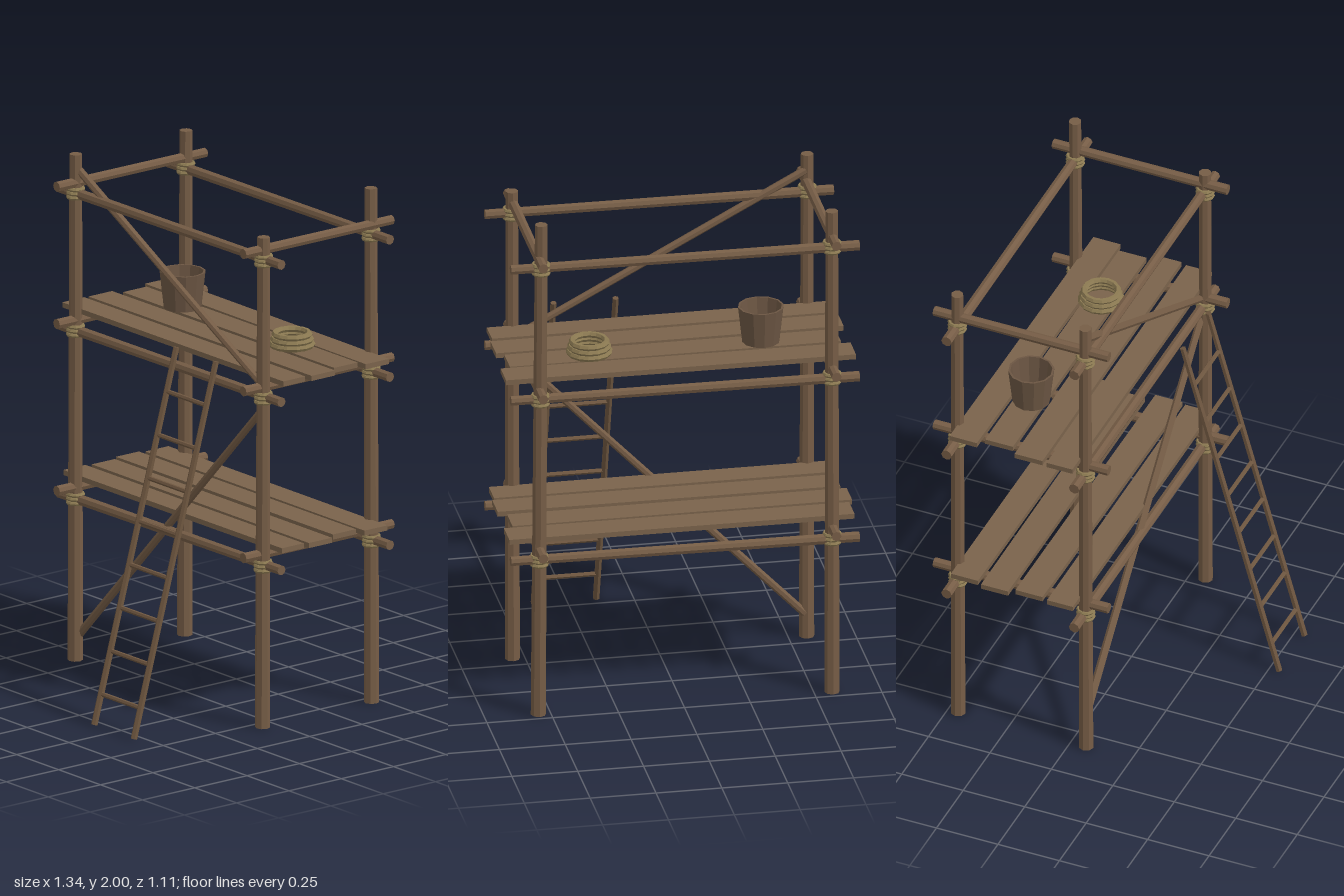
import * as THREE from 'three';

const mat = (name, color, side = THREE.FrontSide) => {
  const m = new THREE.MeshStandardMaterial({ color, side, flatShading: true });
  m.name = name;
  return m;
};

export function createModel() {
  const pole = mat('pole wood', 0x765d46);
  const plankWood = mat('plank wood', 0x7a634b);
  const ladderWood = mat('ladder wood', 0x6f5740);
  const rope = mat('rope', 0x8c7a52);
  const bucketWood = mat('bucket wood', 0x6c5643, THREE.DoubleSide);

  const model = new THREE.Group();
  model.name = 'scaffold';

  const add = (name, geometry, material, parent = model) => {
    const mesh = new THREE.Mesh(geometry, material);
    mesh.name = name;
    parent.add(mesh);
    return mesh;
  };

  // A tapered round pole running from point a to point b
  const beam = (name, a, b, r0, r1, material, sides = 8, parent = model) => {
    const start = new THREE.Vector3(...a), end = new THREE.Vector3(...b);
    const dir = end.clone().sub(start);
    const mesh = add(name, new THREE.CylinderGeometry(r1, r0, dir.length(), sides), material, parent);
    mesh.position.copy(start).add(end).multiplyScalar(0.5);
    mesh.quaternion.setFromUnitVectors(new THREE.Vector3(0, 1, 0), dir.normalize());
    return mesh;
  };

  const ring = (name, radius, tube, x, y, z, sides, parent) => {
    const mesh = add(name, new THREE.TorusGeometry(radius, tube, 6, sides), rope, parent);
    mesh.rotation.x = Math.PI / 2;
    mesh.position.set(x, y, z);
  };

  // Corner posts: bottom x, bottom z, top x, top z, height
  const posts = [
    [-0.57, 0.063, -0.571, 0.06, 1.97],
    [0.547, 0.063, 0.55, 0.06, 1.91],
    [-0.568, -0.458, -0.566, -0.463, 1.965],
    [0.547, -0.458, 0.537, -0.463, 2.0],
  ];
  for (const [x0, z0, x1, z1, h] of posts)
    beam('post', [x0, 0, z0], [x1, h, z1], 0.029, 0.024, pole);

  // Long rails, cross rails and rope lashings at each of three levels
  const levels = [[0.63, 0.675], [1.285, 1.325], [1.82, 1.86]];
  for (const [railY, crossY] of levels) {
    for (const z of [0.057, -0.462])
      beam('longRail', [-0.67, railY - 0.004, z], [0.653, railY + 0.004, z], 0.021, 0.019, pole);
    for (const x of [-0.567, 0.546])
      beam('crossRail', [x, crossY, 0.155], [x, crossY, -0.555], 0.02, 0.019, pole);
    for (const [x0, z0, x1, z1, h] of posts) {
      const t = railY / h;
      const lashing = new THREE.Group();
      lashing.name = 'lashing';
      model.add(lashing);
      for (let i = -1; i <= 1; i++)
        ring('lashingTurn', 0.029, 0.008, x0 + (x1 - x0) * t, railY + i * 0.016, z0 + (z1 - z0) * t, 10, lashing);
    }
  }

  // Two plank decks: x start, x end, centre z, width, slight twist
  const decks = {
    0.705: [
      [-0.655, 0.655, -0.394, 0.11, -0.002],
      [-0.67, 0.62, -0.268, 0.11, 0.003],
      [-0.65, 0.65, -0.133, 0.11, -0.003],
      [-0.66, 0.64, -0.006, 0.105, 0.002],
    ],
    1.357: [
      [-0.66, 0.667, -0.394, 0.111, -0.006],
      [-0.627, 0.63, -0.268, 0.113, 0.002],
      [-0.663, 0.658, -0.135, 0.113, 0.006],
      [-0.666, 0.648, -0.006, 0.105, 0.003],
    ],
  };
  for (const [y, planks] of Object.entries(decks))
    for (const [x0, x1, z, width, twist] of planks) {
      const plank = add('plank', new THREE.BoxGeometry(x1 - x0, 0.02, width), plankWood);
      plank.position.set((x0 + x1) / 2, Number(y), z);
      plank.rotation.y = twist;
    }

  // Diagonal braces across the front
  beam('lowerBrace', [-0.56, 0.1, 0.05], [0.545, 1.245, 0.05], 0.016, 0.014, pole, 7);
  beam('upperBrace', [-0.565, 1.908, 0.05], [0.545, 1.318, 0.05], 0.016, 0.014, pole, 7);

  // Leaning ladder
  const ladder = new THREE.Group();
  ladder.name = 'ladder';
  model.add(ladder);
  const left = 0.375, right = 0.139;
  for (const x of [left, right])
    beam('ladderRail', [x, 0.003, 0.54], [x, 1.4, 0.148], 0.013, 0.012, ladderWood, 6, ladder);
  for (let i = 0; i < 8; i++) {
    const y = 0.117 + i * 0.16;
    const z = 0.54 - 0.28 * y;
    beam('rung', [right, y, z], [left, y, z], 0.009, 0.009, ladderWood, 6, ladder);
  }

  // Open tapered bucket standing on the upper deck
  const bucketProfile = [[0, 0], [0.071, 0], [0.087, 0.142], [0.079, 0.142], [0.064, 0.012], [0, 0.012]];
  const bucket = add('bucket',
    new THREE.LatheGeometry(bucketProfile.map(([r, y]) => new THREE.Vector2(r, y)), 12), bucketWood);
  bucket.position.set(-0.335, 1.367, -0.262);

  // Coil of rope on the upper deck
  const coil = new THREE.Group();
  coil.name = 'ropeCoil';
  coil.position.set(0.317, 1.367, -0.262);
  model.add(coil);
  [0.076, 0.071, 0.065].forEach((r, i) =>
    ring('coilTurn', r, 0.012, 0, 0.012 + i * 0.019, 0, 14, coil));

  return model;
}
